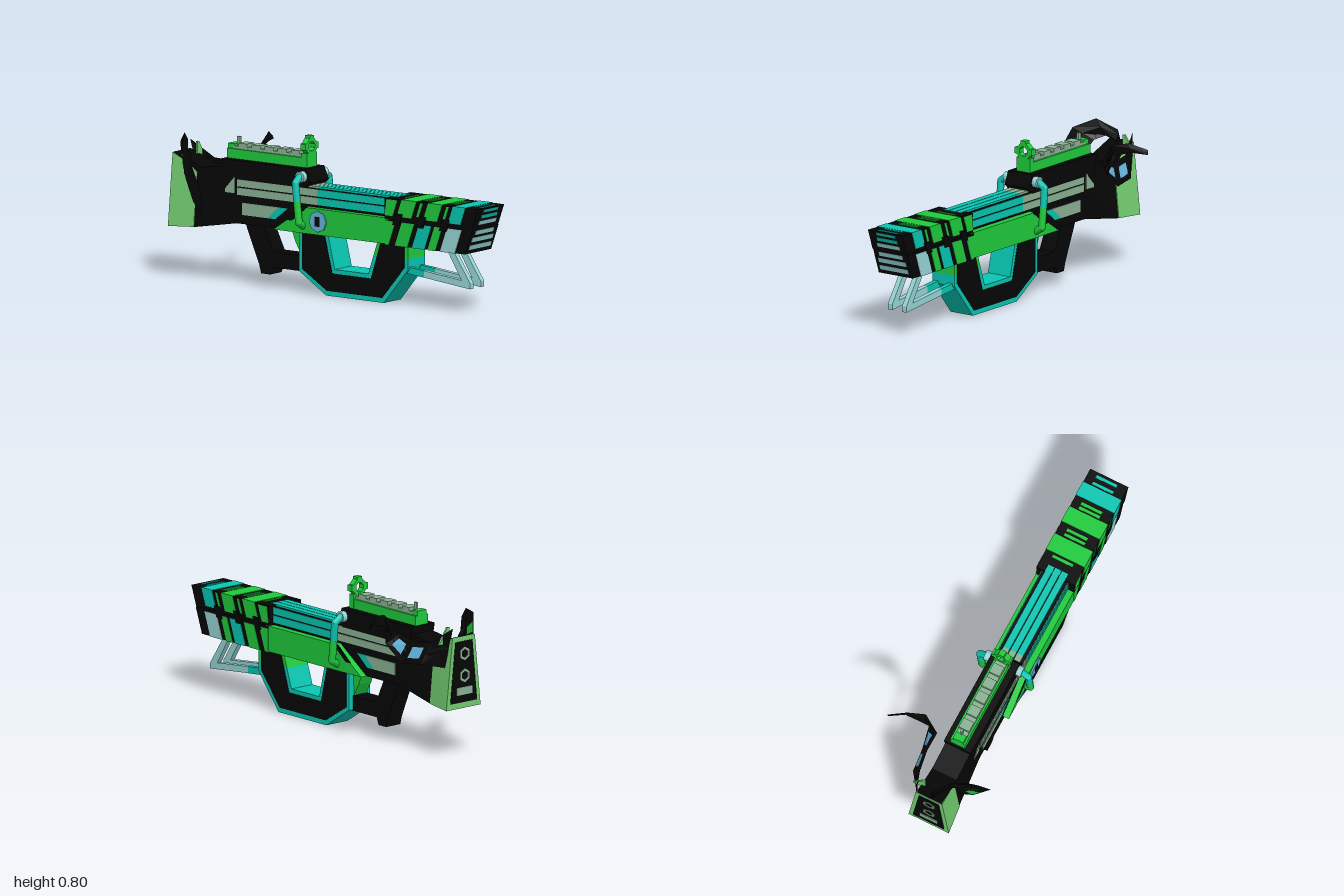
import * as THREE from 'three';
import { ConvexGeometry } from 'three/addons/geometries/ConvexGeometry.js';

const mat = (name, color, side = THREE.FrontSide) => new THREE.MeshStandardMaterial({ name, color, side });
const V = (p) => new THREE.Vector3(...p);

export function createModel() {
  const root = new THREE.Group();
  root.name = 'launcher';
  const black = mat('black', 0x060606, THREE.DoubleSide);
  const green = mat('green', 0x1ecb3c, THREE.DoubleSide);
  const teal = mat('teal', 0x08c6b2);
  const pale = mat('paleTeal', 0x98d6d6);
  const sage = mat('sage', 0x8ab294);
  const light = mat('lightGreen', 0x72cc70);
  const blue = mat('blue', 0x64b4dc, THREE.DoubleSide);
  const CX = -0.072;

  const add = (name, geo, m) => {
    const mesh = new THREE.Mesh(geo, m);
    mesh.name = name;
    root.add(mesh);
    return mesh;
  };
  // box given by its limits
  const box = (name, m, x0, x1, y0, y1, z0, z1) => {
    const g = new THREE.BoxGeometry(x1 - x0, y1 - y0, z1 - z0);
    return add(name, g.translate((x0 + x1) / 2, (y0 + y1) / 2, (z0 + z1) / 2), m);
  };
  // side profile of [z, y] points, extruded from x0 to x1
  const vec2 = (pts) => pts.map(([a, b]) => new THREE.Vector2(a, b));
  const side = (name, m, pts, x0, x1) => {
    const g = new THREE.ExtrudeGeometry(new THREE.Shape(vec2(pts)), { depth: x1 - x0, bevelEnabled: false });
    return add(name, g.rotateY(-Math.PI / 2).translate(x1, 0, 0), m);
  };
  // straight rod between two points
  const rod = (name, m, a, b, r, sides = 8) => {
    const p = V(a), q = V(b), d = q.clone().sub(p);
    const mesh = add(name, new THREE.CylinderGeometry(r, r, d.length(), sides), m);
    mesh.position.copy(p).add(q).multiplyScalar(0.5);
    mesh.quaternion.setFromUnitVectors(new THREE.Vector3(0, 1, 0), d.normalize());
  };
  const ngon = (n, r) => Array.from({ length: n }, (_, i) => {
    const a = (i + 0.5) / n * Math.PI * 2;
    return [Math.cos(a) * r, Math.sin(a) * r];
  });
  const ring = (name, m, n, ro, ri, depth) => {
    const s = new THREE.Shape(vec2(ngon(n, ro)));
    s.holes.push(new THREE.Path(vec2(ngon(n, ri))));
    return add(name, new THREE.ExtrudeGeometry(s, { depth, bevelEnabled: false }), m);
  };

  // raked front shroud: black blocks with coloured bands wrapped round them
  const rake = (z, y) => Math.max(0.4, z - (0.555 - y) * 0.36);
  const band = (name, m, z0, z1, y0, y1, x0, x1) =>
    side(name, m, [[rake(z0, y0), y0], [rake(z1, y0), y0], [rake(z1, y1), y1], [rake(z0, y1), y1]], x0, x1);
  band('upperShroud', black, 0.4, 1, 0.447, 0.553, -0.184, 0.034);
  band('lowerShroud', black, 0.4, 1, 0.313, 0.447, -0.18, 0.038);
  for (const [m, a, b] of [[teal, 0.84, 0.92], [green, 0.68, 0.77], [green, 0.51, 0.605]])
    band('upperBand', m, a, b, 0.464, 0.555, -0.186, 0.036);
  for (const [m, a, b] of [[pale, 0.84, 0.935], [green, 0.76, 0.81], [teal, 0.66, 0.74], [green, 0.55, 0.63], [green, 0.44, 0.51]])
    band('lowerBand', m, a, b, 0.311, 0.436, -0.182, 0.04);
  for (const [x0, x1] of [[-0.186, -0.17], [0.02, 0.036]]) {
    band('rearSideBand', green, 0.415, 0.485, 0.464, 0.548, x0, x1);
    for (const z of [0.632, 0.8]) band('sidePinstripe', green, z, z + 0.016, 0.475, 0.548, x0, x1);
    // black studs bridging the groove between the blocks
    for (const z of [0.5, 0.65, 0.8])
      band('shroudStud', black, z, z + 0.045, 0.42, 0.48, x0 < -0.1 ? -0.19 : 0.03, x0 < -0.1 ? -0.18 : 0.042);
  }
  for (const [m, z] of [[teal, 0.975], [teal, 0.935], [green, 0.81], [green, 0.785], [green, 0.65], [green, 0.622], [green, 0.49]])
    box('topBar', m, -0.13, -0.012, 0.549, 0.556, z - 0.008, z + 0.008);
  // front slats lying on the raked face
  for (const [m, y, h, w] of [[teal, 0.539, 0.014, 0.06], [teal, 0.509, 0.018, 0.065], [pale, 0.476, 0.02, 0.071],
    [pale, 0.424, 0.022, 0.075], [pale, 0.387, 0.024, 0.088], [pale, 0.346, 0.024, 0.09]])
    band('frontSlat', m, 0.99, 1.003, y - h / 2, y + h / 2, CX - w, CX + w);

  // receiver core and barrel strips
  box('core', black, -0.145, 0, 0.315, 0.545, -0.6, 0.46);
  for (const x of [-0.111, CX, -0.033])
    for (const [m, z0, z1] of [[teal, -0.06, 0.44], [sage, -0.14, -0.06]])
      box('topBarrelStrip', m, x - 0.0175, x + 0.0175, 0.54, 0.555, z0, z1);
  for (const [x0, x1] of [[-0.149, -0.14], [-0.005, 0.004]]) {
    for (const [y0, y1] of [[0.463, 0.5], [0.507, 0.543]]) {
      box('sideBarrelStrip', teal, x0, x1, y0, y1, -0.06, 0.42);
      box('sideBarrelStripRear', sage, x0, x1, y0, y1, -0.575, -0.06);
    }
    side('rearStripTeal', teal, [[-0.25, 0.425], [-0.31, 0.425], [-0.38, 0.362], [-0.33, 0.362]], x0, x1);
    side('rearStrip', sage, [[-0.31, 0.425], [-0.545, 0.425], [-0.545, 0.362], [-0.38, 0.362]], x0, x1);
  }
  side('lowerReceiver', green, [[0.42, 0.315], [0.42, 0.45], [-0.12, 0.45], [-0.32, 0.315]], -0.18, 0.036);
  for (const [x0, x1] of [[-0.182, -0.178], [0.034, 0.038]])
    side('receiverEdge', black, [[-0.1, 0.452], [-0.14, 0.452], [-0.24, 0.373], [-0.2, 0.373]], x0, x1);
  // octagonal panel on the right side
  const panel = add('sidePanel', new THREE.CylinderGeometry(0.055, 0.055, 0.008, 8), blue);
  panel.rotation.z = Math.PI / 2;
  panel.position.set(-0.184, 0.385, -0.03);
  box('sidePanelInset', black, -0.191, -0.187, 0.36, 0.41, -0.045, -0.015);

  // hand guard: teal U with green upper legs and black cheeks
  side('guardLoop', teal, [[0.515, 0.242], [0.515, 0.185], [0.36, 0], [-0.01, 0], [-0.185, 0.11], [-0.185, 0.315],
    [0.002, 0.315], [0.045, 0.14], [0.26, 0.14], [0.295, 0.242]], -0.14, 0.002);
  side('guardFrontLeg', green, [[0.515, 0.242], [0.515, 0.32], [0.322, 0.32], [0.295, 0.242]], -0.14, 0.002);
  for (const [x0, x1] of [[-0.142, -0.138], [0, 0.004]])
    side('guardCheek', black, [[0.493, 0.318], [0.493, 0.195], [0.35, 0.025], [-0.005, 0.025], [-0.165, 0.123], [-0.165, 0.318],
      [-0.02, 0.318], [0.03, 0.118], [0.278, 0.118], [0.342, 0.318]], x0, x1);
  side('trigger', green, [[-0.18, 0.32], [-0.255, 0.32], [-0.225, 0.25], [-0.19, 0.19]], -0.115, -0.03);
  side('rearGrip', black, [[-0.18, 0.185], [-0.365, 0.185], [-0.43, 0.32], [-0.545, 0.32], [-0.455, 0.11], [-0.443, 0.067],
    [-0.385, 0.067], [-0.37, 0.105], [-0.18, 0.105]], -0.12, -0.025);

  // folding front struts
  for (const x of [-0.114, -0.024]) {
    side('strutRear', teal, [[0.5, 0.2], [0.5, 0.165], [0.61, 0.155], [0.61, 0.19]], x - 0.014, x + 0.014);
    side('strut', pale, [[0.61, 0.19], [0.61, 0.155], [0.905, 0.125], [0.905, 0.155], [0.79, 0.325], [0.75, 0.325], [0.85, 0.165]],
      x - 0.014, x + 0.014);
  }

  // bent carrying tubes on both sides
  for (const s of [-1, 1]) {
    const p = (dx, y, z) => [-0.069 + s * dx, y, z];
    rod('tubeSocket', pale, p(0.078, 0.6, -0.155), p(0.106, 0.6, -0.155), 0.029, 12);
    const pts = [p(0.095, 0.605, -0.157), p(0.139, 0.575, -0.155), p(0.139, 0.48, -0.145), p(0.139, 0.372, -0.133), p(0.085, 0.34, -0.13)];
    pts.slice(1).forEach((q, i) => {
      const m = i < 2 ? teal : green;
      rod('carryTube', m, pts[i], q, 0.019);
      if (i !== 1 && i < 3) add('tubeElbow', new THREE.SphereGeometry(0.019, 8, 6).translate(...q), m);
    });
  }

  // sight rail
  side('railBase', black, [[-0.105, 0.573], [-0.135, 0.64], [-0.68, 0.64], [-0.66, 0.54], [-0.14, 0.54]], -0.147, 0.006);
  box('rail', green, -0.11, -0.027, 0.64, 0.69, -0.67, -0.16);
  box('railTop', sage, -0.1, -0.04, 0.685, 0.704, -0.64, -0.19);
  for (let i = 0; i < 5; i++) box('railTooth', sage, -0.1, -0.04, 0.7, 0.721, -0.268 - i * 0.084, -0.212 - i * 0.084);
  box('rearSight', green, -0.1, -0.04, 0.69, 0.715, -0.67, -0.63);
  box('rearSightPost', sage, CX - 0.002, CX + 0.01, 0.7, 0.75, -0.635, -0.615);
  box('frontSightFoot', green, -0.11, -0.026, 0.64, 0.713, -0.19, -0.157);
  ring('frontSightRing', green, 8, 0.046, 0.026, 0.033).position.set(-0.068, 0.746, -0.19);
  box('frontSightLug', green, -0.084, -0.052, 0.782, 0.802, -0.19, -0.157);
  for (const x of [-0.122, -0.034]) box('frontSightLug', green, x, x + 0.02, 0.73, 0.763, -0.19, -0.157);

  // stock and flared butt; sections are z, y range, bottom x range, top x range
  const hull = (name, m, ...sections) => add(name, new ConvexGeometry(
    sections.flatMap(([z, y0, y1, a0, a1, b0, b1]) => [[a0, y0, z], [a1, y0, z], [b0, y1, z], [b1, y1, z]].map(V))), m);
  hull('stock', black, [-0.58, 0.315, 0.57, -0.145, 0, -0.145, 0], [-0.845, 0.27, 0.575, -0.165, 0.022, -0.135, -0.008]);
  hull('butt', light, [-0.84, 0.272, 0.57, -0.168, 0.026, -0.138, -0.004], [-0.993, 0.264, 0.64, -0.184, 0.047, -0.145, 0.005]);
  hull('buttPad', black, [-0.99, 0.295, 0.615, -0.158, 0.021, -0.127, -0.013], [-0.996, 0.295, 0.615, -0.158, 0.021, -0.127, -0.013]);
  for (const y of [0.55, 0.435]) ring('buttHexagon', sage, 6, 0.036, 0.023, 0.006).position.set(CX, y, -1);
  box('buttBar', sage, -0.122, -0.02, 0.335, 0.375, -1, -0.994);
  box('buttBarInset', black, -0.105, -0.045, 0.348, 0.36, -1, -0.999);
  for (const [x0, x1] of [[-0.152, -0.14], [-0.005, 0.01]])
    side('stockPatch', sage, [[-0.59, 0.555], [-0.65, 0.49], [-0.65, 0.47], [-0.59, 0.47]], x0, x1);
  hull('bladeFin', light, [-0.93, 0.6, 0.685, -0.02, 0.05, -0.02, -0.005], [-0.94, 0.6, 0.685, -0.02, 0.05, -0.02, -0.005]);

  // curved blades lofted from pairs of edge points, lens-shaped in section;
  // patches list the segments and faces that carry a coloured plate
  const blade = (name, pairs, t, patchMat, segments, faces) => {
    const secs = pairs.map(([a, b]) => [V(a), V(b)]);
    const mids = secs.map(([a, b]) => a.clone().lerp(b, 0.5));
    const normals = secs.map(([a, b], i) => {
      const run = mids[Math.min(i + 1, mids.length - 1)].clone().sub(mids[Math.max(i - 1, 0)]);
      return b.clone().sub(a).cross(run).normalize();
    });
    const pos = [];
    const quad = (a, b, c, d) => [a, b, c, a, c, d].forEach((p) => pos.push(p.x, p.y, p.z));
    const build = (label, m) => {
      const g = new THREE.BufferGeometry();
      g.setAttribute('position', new THREE.Float32BufferAttribute(pos.splice(0), 3));
      g.computeVertexNormals();
      add(label, g, m);
    };
    const loops = secs.map(([a, b], i) => [a, mids[i].clone().addScaledVector(normals[i], t), b, mids[i].clone().addScaledVector(normals[i], -t)]);
    for (let i = 0; i + 1 < loops.length; i++)
      for (let k = 0; k < 4; k++) quad(loops[i][k], loops[i][(k + 1) % 4], loops[i + 1][(k + 1) % 4], loops[i + 1][k]);
    build(name, black);
    for (const i of segments) for (const s of faces) {
      const at = (u, v) => secs[i][0].clone().lerp(secs[i][1], v).lerp(secs[i + 1][0].clone().lerp(secs[i + 1][1], v), u)
        .addScaledVector(normals[i].clone().lerp(normals[i + 1], u), s * (t + 0.003));
      quad(at(0.2, 0.25), at(0.2, 0.75), at(0.8, 0.75), at(0.8, 0.25));
    }
    build(name + 'Patch', patchMat);
  };
  blade('leftBlade', [
    [[0, 0.69, -0.99], [0.02, 0.48, -0.95]], [[0.045, 0.6, -0.87], [0.095, 0.49, -0.85]],
    [[0.065, 0.59, -0.75], [0.11, 0.475, -0.72]], [[0.06, 0.61, -0.65], [0.125, 0.56, -0.61]],
    [[0.14, 0.715, -0.62], [0.157, 0.66, -0.65]], [[0.225, 0.733, -0.66], [0.237, 0.685, -0.66]],
    [[0.31, 0.7, -0.71], [0.318, 0.677, -0.7]]], 0.004, blue, [1, 2], [-1, 1]);
  blade('rightBlade', [
    [[-0.06, 0.56, -0.998], [-0.06, 0.57, -0.92]], [[-0.09, 0.69, -0.985], [-0.08, 0.64, -0.955]],
    [[-0.165, 0.755, -0.9], [-0.12, 0.667, -0.92]], [[-0.27, 0.705, -0.84], [-0.155, 0.65, -0.87]],
    [[-0.318, 0.575, -0.785], [-0.19, 0.58, -0.83]], [[-0.225, 0.415, -0.8], [-0.16, 0.5, -0.82]],
    [[-0.14, 0.33, -0.8], [-0.12, 0.42, -0.82]]], 0.012, green, [3, 4], [1]);
  // black saddle between the blades on top of the stock
  side('bladeRoot', black, [[-0.66, 0.55], [-0.66, 0.6], [-0.82, 0.58], [-0.96, 0.632], [-0.99, 0.642], [-0.99, 0.56]], -0.14, 0);
  return root;
}
